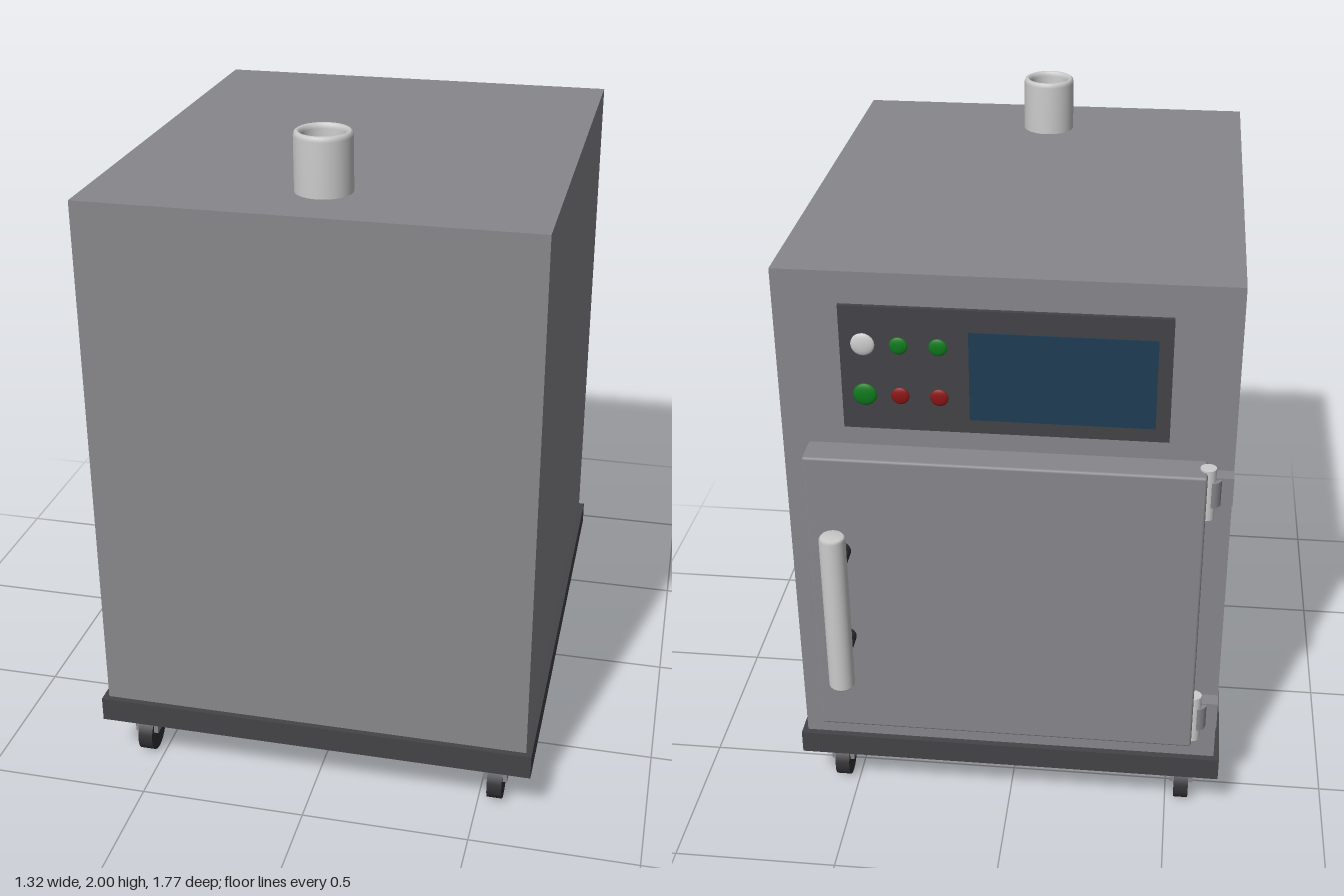
import * as THREE from 'three';
import { RoundedBoxGeometry } from 'three/addons/geometries/RoundedBoxGeometry.js';

const mat = (color, side = THREE.FrontSide) => new THREE.MeshStandardMaterial({ color, side });

export function createModel() {
  const model = new THREE.Group();
  model.name = 'cabinetOven';

  const steel = mat(0x88888c), dark = mat(0x444448), black = mat(0x333337);
  const light = mat(0xcccccc), glass = mat(0x1f3d55);
  const green = mat(0x0f7a1c), red = mat(0x8a1616);

  const add = (name, geometry, material, x, y, z, parent = model) => {
    const mesh = new THREE.Mesh(geometry, material);
    mesh.name = name;
    mesh.position.set(x, y, z);
    parent.add(mesh);
    return mesh;
  };
  // Box given by its min and max corners
  const box = (name, material, [x0, y0, z0], [x1, y1, z1], parent) =>
    add(name, new THREE.BoxGeometry(x1 - x0, y1 - y0, z1 - z0), material,
      (x0 + x1) / 2, (y0 + y1) / 2, (z0 + z1) / 2, parent);
  // Cylinder lying along z
  const rodZ = (r, length) => new THREE.CylinderGeometry(r, r, length, 24).rotateX(Math.PI / 2);
  // Closed or open profile turned about y
  const lathe = points => new THREE.LatheGeometry(points.map(p => new THREE.Vector2(...p)), 32);

  // Cabinet and base tray
  box('body', steel, [-0.645, 0.235, -0.65], [0.645, 1.83, 0.867]);
  box('base', dark, [-0.662, 0.16, -0.67], [0.662, 0.235, 0.885]);

  // Casters
  for (const x of [-0.55, 0.55]) for (const z of [-0.56, 0.775]) {
    const caster = new THREE.Group();
    caster.name = 'caster';
    caster.position.set(x, 0, z);
    add('wheel', new THREE.CylinderGeometry(0.062, 0.062, 0.045, 24).rotateZ(Math.PI / 2), black, 0, 0.062, 0, caster);
    box('casterHousing', steel, [-0.036, 0.078, -0.04], [0.036, 0.13, 0.04], caster);
    model.add(caster);
  }

  // Hollow exhaust pipe with a softened rim
  add('exhaustPipe', lathe([[0.082, 1.83], [0.082, 1.985], [0.079, 1.996], [0.073, 2],
    [0.066, 1.997], [0.061, 1.985], [0.061, 1.85]]), mat(0xcccccc, THREE.DoubleSide), 0, 0, 0.635);
  add('exhaustFloor', new THREE.CircleGeometry(0.062, 32).rotateX(-Math.PI / 2), black, 0, 1.85, 0.635);

  // Door with its handle
  add('door', new RoundedBoxGeometry(1.14, 0.95, 0.103, 2, 0.008), steel, 0, 0.825, -0.7);
  const handle = new THREE.Group();
  handle.name = 'doorHandle';
  handle.position.set(0.473, 0, 0);
  add('handleBar', lathe([[0, 0.58], [0.032, 0.58], [0.038, 0.588], [0.038, 1.097], [0.032, 1.105], [0, 1.105]]),
    light, 0, 0, -0.847, handle);
  for (const y of [0.692, 0.996]) add('handlePost', rodZ(0.03, 0.08), black, 0, y, -0.785, handle);
  model.add(handle);

  // Hinges
  for (const y of [1.225, 0.43]) {
    const hinge = new THREE.Group();
    hinge.name = 'hinge';
    hinge.position.y = y;
    add('hingePin', new THREE.CylinderGeometry(0.023, 0.023, 0.16, 20), light, -0.572, 0, -0.7, hinge);
    add('hingeKnuckle', new THREE.CylinderGeometry(0.03, 0.03, 0.08, 20), steel, -0.582, 0, -0.69, hinge);
    box('hingePlate', steel, [-0.645, -0.045, -0.695], [-0.585, 0.045, -0.645], hinge);
    model.add(hinge);
  }

  // Control panel: screen and two rows of buttons
  const panel = new THREE.Group();
  panel.name = 'controlPanel';
  box('panelPlate', dark, [-0.46, 1.358, -0.663], [0.46, 1.735, -0.645], panel);
  box('screen', glass, [-0.42, 1.4, -0.666], [0.1, 1.67, -0.655], panel);
  const rows = [[1.62, [light, green, green]], [1.465, [green, red, red]]];
  for (const [y, colours] of rows) colours.forEach((colour, i) => {
    const r = i === 0 ? 0.034 : 0.026;
    const dome = new THREE.SphereGeometry(r, 20, 8, 0, Math.PI * 2, 0, Math.PI / 2);
    dome.scale(1, 0.3, 1).rotateX(-Math.PI / 2);
    add('button', dome, colour, [0.395, 0.295, 0.185][i], y, -0.663, panel);
  });
  model.add(panel);

  return model;
}
